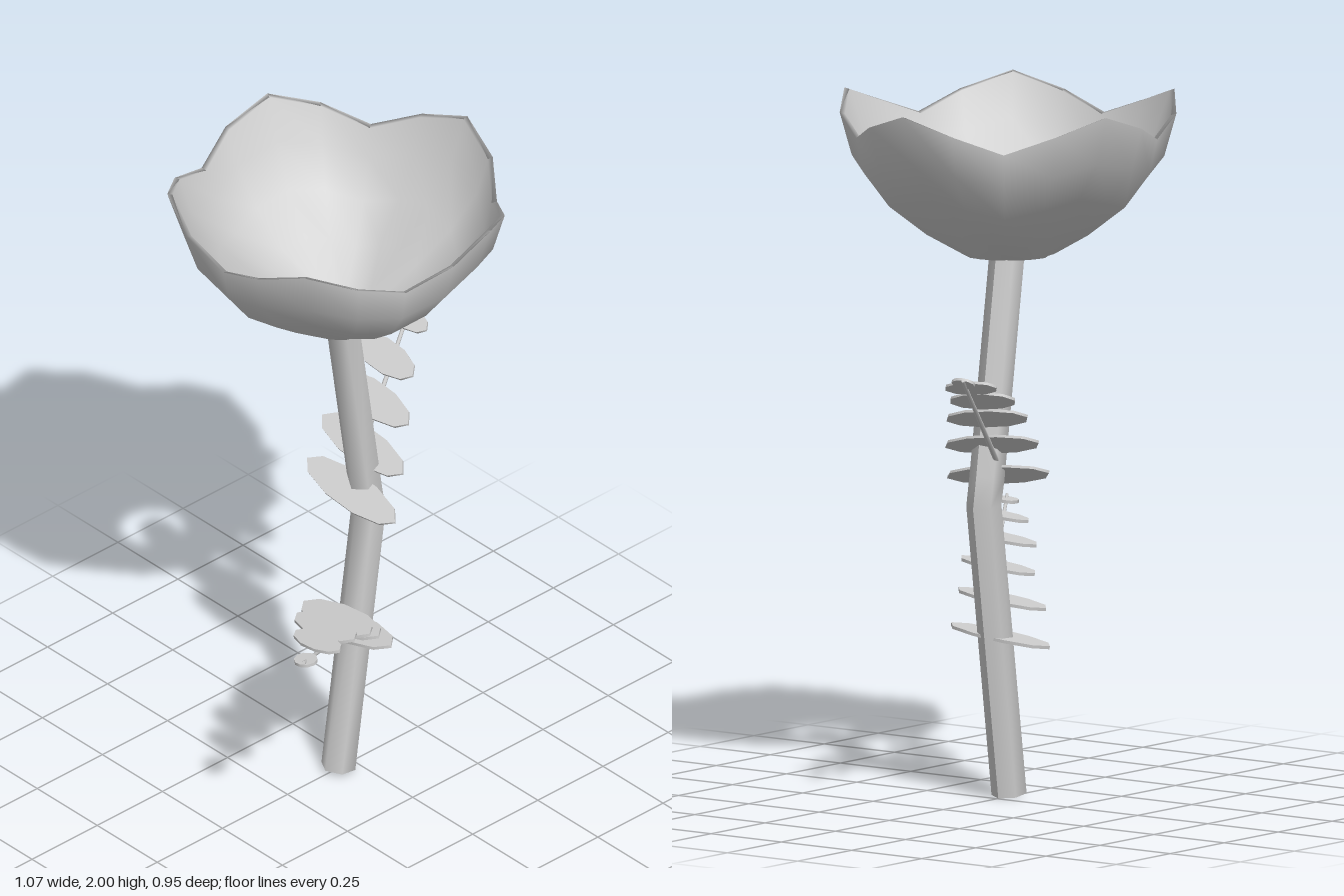
import * as THREE from 'three';
import { mergeVertices } from 'three/addons/utils/BufferGeometryUtils.js';

const V = (x, y, z) => new THREE.Vector3(x, y, z);
const grey = new THREE.MeshStandardMaterial({ color: 0xcccccc });
grey.name = 'plain grey';

function mesh(name, geometry) {
  const m = new THREE.Mesh(geometry, grey);
  m.name = name;
  return m;
}

// Five-petalled double-walled cup: the profile blends between petal tip and notch
function makeCup() {
  // [tip radius, tip height, notch radius, notch height]
  const outer = [
    [0.09, 1.555, 0.09, 1.555], [0.13, 1.55, 0.12, 1.55],
    [0.25, 1.655, 0.24, 1.615], [0.357, 1.75, 0.35, 1.7],
    [0.445, 1.86, 0.425, 1.8], [0.49, 2, 0.447, 1.9],
  ];
  const inner = outer.map(([r, y, s, h], i) => {
    const top = i === outer.length - 1;
    const up = top ? -0.004 : 0.012;
    const inset = i === 0 ? 0 : 0.015;
    return [r - inset, y + up, s - inset, h + up];
  }).reverse();
  const profile = [...outer, ...inner];
  profile.push(profile[0]);

  const n = profile.length, sides = 20;
  const geo = new THREE.LatheGeometry(profile.map(p => new THREE.Vector2(p[0], p[1])), sides);
  const pos = geo.attributes.position;
  for (let i = 0; i <= sides; i++) {
    const a = Math.PI / 2 - (i % sides) / sides * Math.PI * 2;
    const w = [0, 0.48, 1, 0.48][i % 4 === 1 ? 0 : (i + 3) % 4];
    for (let j = 0; j < n; j++) {
      const [r, y, s, h] = profile[j];
      const radius = THREE.MathUtils.lerp(r, s, w) + (i % 2 ? 0 : 0.006);
      pos.setXYZ(i * n + j, -0.05 + radius * Math.cos(a), THREE.MathUtils.lerp(y, h, w), radius * Math.sin(a));
    }
  }
  geo.deleteAttribute('uv');
  geo.deleteAttribute('normal');
  const smooth = mergeVertices(geo, 1e-4);
  smooth.computeVertexNormals();
  return mesh('flowerCup', smooth);
}

// Six-sided stem bent at the middle
function makeStem() {
  const path = [[-0.045, 1.55], [0.047, 0.925], [0.062, 0.845], [-0.055, 0.006]];
  const tilt = [0.145, 0.145, -0.138, -0.138];
  const geo = new THREE.CylinderGeometry(0.05, 0.05, 3, 6, 3, false, Math.PI / 2);
  const pos = geo.attributes.position;
  for (let i = 0; i < pos.count; i++) {
    const k = Math.round(1.5 - pos.getY(i));
    const x = pos.getX(i);
    pos.setXYZ(i, path[k][0] + x, path[k][1] + x * tilt[k], pos.getZ(i));
  }
  geo.computeVertexNormals();
  return mesh('stem', geo);
}

// Twig with a row of thin oval leaves set across it
function makeBranch(name, from, to, leaves) {
  const g = new THREE.Group();
  g.name = name;
  const dir = to.clone().sub(from);
  const twig = mesh('twig', new THREE.CylinderGeometry(0.005, 0.008, dir.length(), 6));
  twig.position.copy(from).add(to).multiplyScalar(0.5);
  dir.normalize();
  twig.quaternion.setFromUnitVectors(V(0, 1, 0), dir);
  g.add(twig);

  const across = V(0, 1, 0).cross(dir).normalize();
  const up = dir.clone().cross(across);
  const frame = new THREE.Matrix4().makeBasis(dir, up, across);
  for (const [x, y, z, halfLength, halfWidth] of leaves) {
    const leaf = mesh('leaf', new THREE.CylinderGeometry(1, 1, 0.009, 10).scale(halfWidth, 1, halfLength));
    leaf.quaternion.setFromRotationMatrix(frame);
    leaf.position.set(x, y, z);
    g.add(leaf);
  }
  return g;
}

export function createModel() {
  const model = new THREE.Group();
  model.name = 'flower';
  model.add(makeCup(), makeStem());
  model.add(makeBranch('upperBranch', V(0.04, 0.97, -0.03), V(0.53, 1.285, -0.285), [
    [-0.005, 0.925, 0, 0.18, 0.06], [0.075, 1.025, -0.04, 0.165, 0.06],
    [0.163, 1.115, -0.09, 0.143, 0.058], [0.265, 1.183, -0.152, 0.113, 0.055],
    [0.39, 1.24, -0.207, 0.09, 0.042], [0.505, 1.273, -0.268, 0.035, 0.033],
  ]));
  model.add(makeBranch('lowerBranch', V(0, 0.5, 0.04), V(-0.53, 0.768, 0.372), [
    [-0.015, 0.463, 0, 0.175, 0.065], [-0.095, 0.553, 0.055, 0.155, 0.062],
    [-0.18, 0.63, 0.135, 0.13, 0.058], [-0.288, 0.69, 0.2, 0.118, 0.053],
    [-0.395, 0.733, 0.283, 0.09, 0.042], [-0.507, 0.757, 0.355, 0.035, 0.033],
  ]));
  return model;
}
